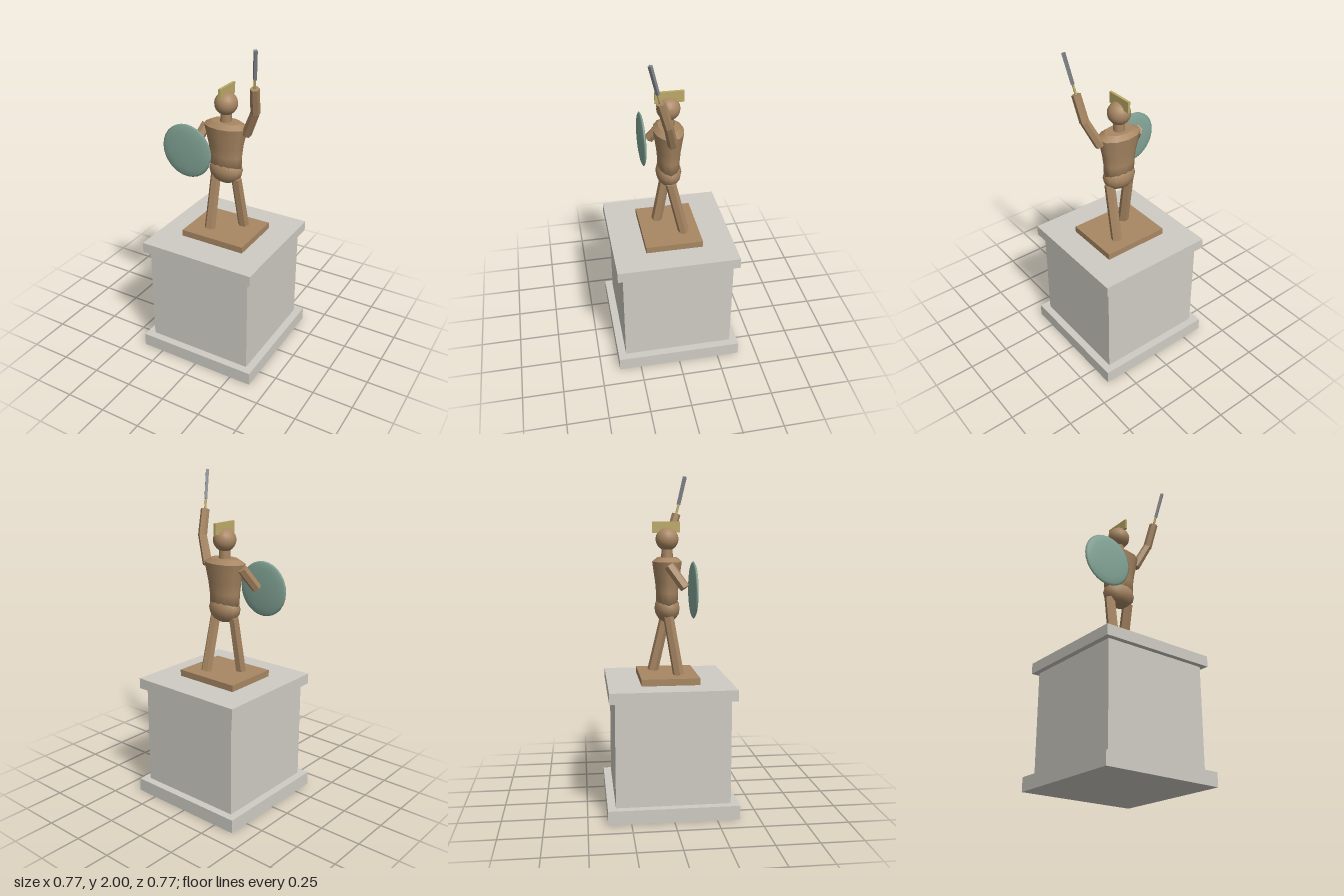
import * as THREE from 'three';

const mat = (color, flatShading = false) => new THREE.MeshStandardMaterial({ color, flatShading });
const stone = mat(0xcfccc4);
const bronze = mat(0xa88763);
const bronzeFlat = mat(0xa88763, true);
const patina = mat(0x84a698);
const gold = mat(0xbcab68, true);
const steel = mat(0x83868c, true);

export function createModel() {
  const root = new THREE.Group();

  const add = (name, geometry, material, x = 0, y = 0, z = 0) => {
    const mesh = new THREE.Mesh(geometry, material);
    mesh.name = name;
    mesh.position.set(x, y, z);
    root.add(mesh);
    return mesh;
  };

  // Box given by its width, depth and bottom/top heights
  const slab = (name, w, d, y0, y1, material, z = 0) =>
    add(name, new THREE.BoxGeometry(w, y1 - y0, d), material, 0, (y0 + y1) / 2, z);

  // Faceted prism running from point a to point b
  const limb = (name, a, b, ra, rb, material = bronzeFlat, sides = 6) => {
    const from = new THREE.Vector3(...a), to = new THREE.Vector3(...b);
    const dir = to.clone().sub(from);
    const mesh = add(name, new THREE.CylinderGeometry(rb, ra, dir.length(), sides), material);
    mesh.position.copy(from).add(to).multiplyScalar(0.5);
    mesh.quaternion.setFromUnitVectors(new THREE.Vector3(0, 1, 0), dir.normalize());
    return mesh;
  };

  // Pedestal
  slab('pedestalFoot', 0.77, 0.77, 0, 0.083, stone);
  slab('pedestalBody', 0.675, 0.675, 0.083, 0.705, stone);
  slab('pedestalCap', 0.74, 0.74, 0.705, 0.77, stone);
  slab('figureBase', 0.418, 0.348, 0.77, 0.81, bronze);

  // Striding legs: left one back, right one forward
  limb('leftLeg', [0.07, 1.16, 0], [0.08, 0.81, -0.08], 0.032, 0.034);
  limb('rightLeg', [-0.07, 1.16, 0], [-0.08, 0.81, 0.06], 0.032, 0.034);

  // Pelvis and torso, both oval in plan
  const pelvis = add('pelvis', new THREE.SphereGeometry(1, 14, 8), bronze, 0, 1.205, 0);
  pelvis.scale.set(0.107, 0.085, 0.076);
  const profile = [[0, 1.195], [0.1, 1.195], [0.104, 1.3], [0.112, 1.36], [0.14, 1.485]];
  const torso = add('torso', new THREE.LatheGeometry(
    profile.map(([r, y]) => new THREE.Vector2(r, y)), 12), bronze);
  torso.scale.z = 0.64;
  const shoulders = add('shoulders',
    new THREE.CylinderGeometry(0.095, 0.14, 0.025, 12), bronze, 0, 1.4975, 0);
  shoulders.scale.z = 0.64;

  // Neck, head and helmet crest
  add('neck', new THREE.CylinderGeometry(0.033, 0.036, 0.09, 8), bronze, 0, 1.535, 0);
  add('head', new THREE.SphereGeometry(0.069, 16, 12), bronze, 0, 1.618, 0);
  slab('helmetCrest', 0.016, 0.168, 1.655, 1.722, gold, -0.006);

  // Raised left arm with sword
  limb('leftUpperArm', [0.135, 1.455, 0], [0.212, 1.62, 0.04], 0.03, 0.027);
  limb('leftForearm', [0.21, 1.61, 0.038], [0.228, 1.768, 0.085], 0.028, 0.027);
  limb('swordGrip', [0.226, 1.75, 0.08], [0.236, 1.83, 0.102], 0.007, 0.007, gold);
  limb('swordBlade', [0.236, 1.825, 0.1], [0.259, 1.997, 0.143], 0.012, 0.013, steel, 4);

  // Right arm reaching to the shield
  limb('rightArm', [-0.132, 1.465, -0.003], [-0.175, 1.34, 0.085], 0.032, 0.031);
  const shield = add('shield', new THREE.SphereGeometry(0.166, 28, 8), patina, -0.19, 1.33, 0.13);
  shield.rotation.x = Math.PI / 2;
  shield.scale.y = 0.11;

  return root;
}
